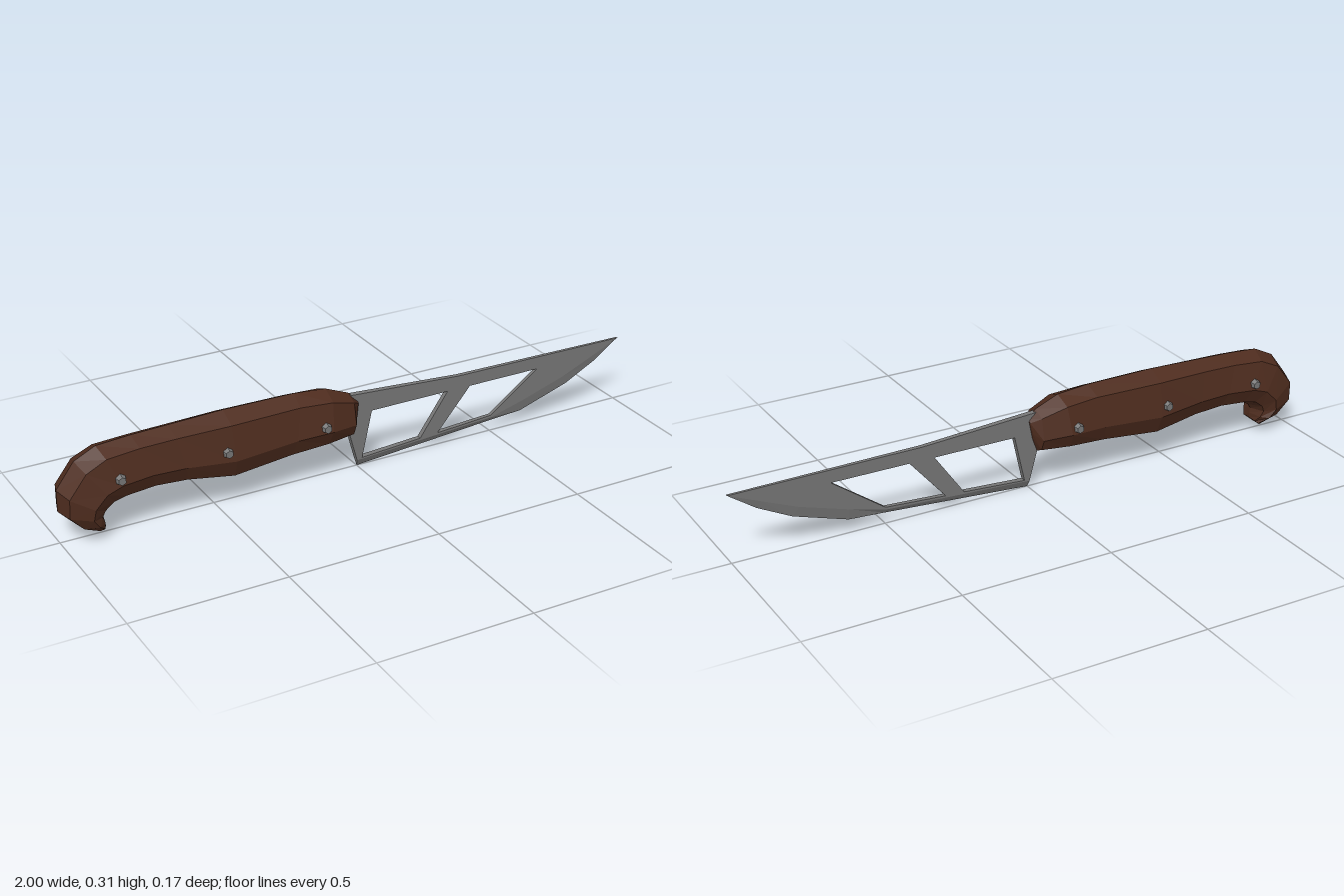
import * as THREE from 'three';

const wood = new THREE.MeshStandardMaterial({ color: 0x4e2c1e, flatShading: true });
const steel = new THREE.MeshStandardMaterial({ color: 0x777777, flatShading: true });

// Skin a list of equal-length rings of [x, y, z] points and cap both ends
function loft(rings) {
  const n = rings[0].length, last = (rings.length - 1) * n, index = [];
  for (let i = 0; i < rings.length - 1; i++) {
    for (let j = 0; j < n; j++) {
      const a = i * n + j, b = i * n + (j + 1) % n;
      index.push(a, a + n, b, b, a + n, b + n);
    }
  }
  for (let j = 1; j < n - 1; j++) {
    index.push(0, j, j + 1, last, last + j + 1, last + j);
  }
  const geo = new THREE.BufferGeometry();
  geo.setAttribute('position', new THREE.Float32BufferAttribute(rings.flat(2), 3));
  geo.setIndex(index);
  const flat = geo.toNonIndexed();
  flat.computeVertexNormals();
  return flat;
}

function add(group, name, geo, material) {
  const mesh = new THREE.Mesh(geo, material);
  mesh.name = name;
  group.add(mesh);
  return mesh;
}

// Handle sections from bolster to hook: back x, y, belly x, y, half width
const HANDLE = [
  [0, 0.235, -0.015, 0.16, 0.022],
  [-0.03, 0.262, -0.03, 0.118, 0.055],
  [-0.11, 0.295, -0.13, 0.11, 0.077],
  [-0.22, 0.305, -0.26, 0.1, 0.072],
  [-0.46, 0.307, -0.45, 0.08, 0.08],
  [-0.64, 0.301, -0.6, 0.108, 0.072],
  [-0.76, 0.297, -0.7, 0.116, 0.071],
  [-0.87, 0.289, -0.79, 0.11, 0.076],
  [-0.94, 0.255, -0.83, 0.105, 0.08],
  [-1, 0.175, -0.855, 0.09, 0.08],
  [-1, 0.105, -0.865, 0.075, 0.076],
  [-0.95, 0.053, -0.862, 0.058, 0.068],
  [-0.885, 0.02, -0.862, 0.04, 0.042],
];
// Half of the cross-section: position from back to belly, share of half width
const HALF = [[0, 0], [0.13, 0.74], [0.62, 1], [0.88, 0.7], [1, 0]];
const SECTION = [...HALF, ...HALF.slice(1, -1).reverse().map(([t, w]) => [t, -w])];

// Blade: cutting edge and the line where the bevel begins
const EDGE = [[0, 0], [0.5, 0.037], [0.62, 0.045], [0.8, 0.103], [0.91, 0.16], [1, 0.225]];
const BEVEL = [[-0.003, 0.022], [0.5, 0.05], [0.62, 0.082], [0.78, 0.132], [0.89, 0.178], [1, 0.225]];
const HOLES = [
  [[0.05, 0.185], [0.33, 0.185], [0.23, 0.042], [0.015, 0.028]],
  [[0.415, 0.185], [0.675, 0.185], [0.5, 0.058], [0.295, 0.045]],
];
const halfThickness = (x) => 0.01 - 0.006 * Math.max(0, x);
const toPoints = (list) => list.map(([x, y]) => new THREE.Vector2(x, y));

function bladeFlat() {
  const outline = [[-0.03, 0.255], [-0.03, 0.12], ...BEVEL, [0.37, 0.23]];
  const shape = new THREE.Shape(toPoints(outline));
  shape.holes = HOLES.map((h) => new THREE.Path(toPoints(h)));
  const geo = new THREE.ExtrudeGeometry(shape, { depth: 2, bevelEnabled: false });
  // Thin the blade towards its tip
  const p = geo.attributes.position;
  for (let i = 0; i < p.count; i++) {
    p.setZ(i, (p.getZ(i) - 1) * halfThickness(p.getX(i)));
  }
  geo.computeVertexNormals();
  return geo;
}

export function createModel() {
  const model = new THREE.Group();
  model.name = 'knife';

  // Hooked wooden handle
  const rings = HANDLE.map(([ax, ay, bx, by, w]) => SECTION.map(([t, s]) =>
    [ax + (bx - ax) * t, ay + (by - ay) * t, s * w]));
  add(model, 'handle', loft(rings), wood);

  // Rivets on both sides
  for (const x of [-0.825, -0.48, -0.145]) {
    for (const side of [1, -1]) {
      const geo = new THREE.CylinderGeometry(0.013, 0.022, 0.03, 6);
      const rivet = add(model, 'rivet', geo, steel);
      rivet.rotation.x = side * Math.PI / 2;
      rivet.position.set(x, 0.198, side * 0.07);
    }
  }

  // Pierced blade and its ground edge
  add(model, 'blade', bladeFlat(), steel);
  const edgeRings = EDGE.map(([ex, ey], i) => {
    const [x, y] = BEVEL[i], h = halfThickness(x);
    return [[x, y, h], [x, y, -h], [ex, ey, 0]];
  });
  add(model, 'cuttingEdge', loft(edgeRings), steel);

  return model;
}
